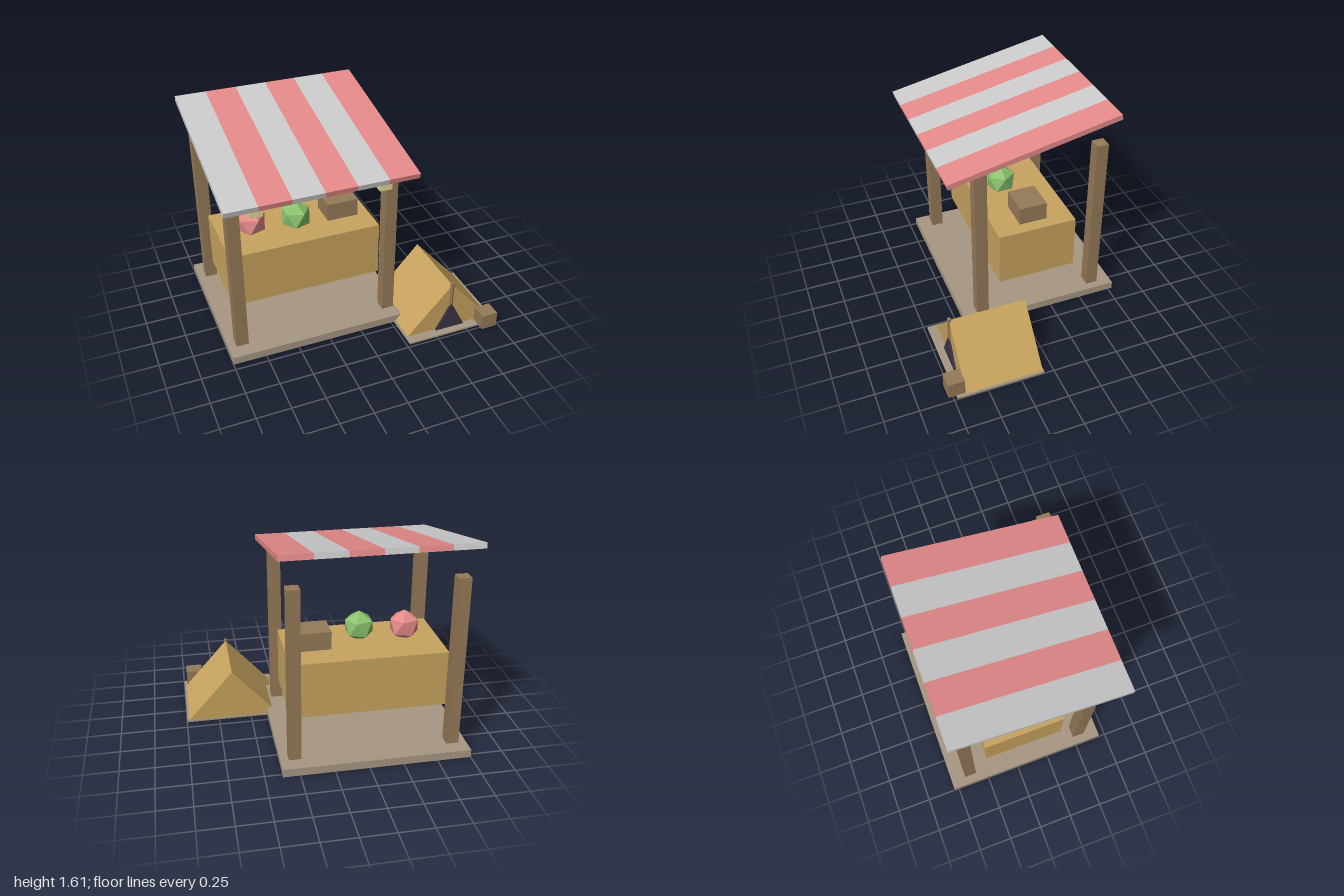
import * as THREE from 'three';

const material = (color) => new THREE.MeshStandardMaterial({ color, flatShading: true });
const grey = material(0xcccccc);
const red = material(0xe68a8a);
const green = material(0x8cc26e);
const wood = material(0x967a58);
const planks = material(0xa89884);
const canvas = material(0xc9a45f);
const dark = material(0x3a3344);
const glow = material(0xe6d69a);

function add(parent, name, geometry, mat, x, y, z) {
  const mesh = new THREE.Mesh(geometry, mat);
  mesh.name = name;
  mesh.position.set(x, y, z);
  parent.add(mesh);
  return mesh;
}

// Box standing on height y
function box(parent, name, mat, [w, h, d], [x, y, z]) {
  return add(parent, name, new THREE.BoxGeometry(w, h, d), mat, x, y + h / 2, z);
}

// Upright triangle extruded along z
function wedge(width, height, depth) {
  const shape = new THREE.Shape();
  shape.moveTo(-width / 2, 0);
  shape.lineTo(width / 2, 0);
  shape.lineTo(0, height);
  shape.closePath();
  return new THREE.ExtrudeGeometry(shape, { depth, bevelEnabled: false });
}

function createStall() {
  const stall = new THREE.Group();
  stall.name = 'stall';
  stall.position.set(-0.313, 0, -0.17);

  box(stall, 'platform', planks, [1.373, 0.061, 1.23], [0, 0, 0]);
  box(stall, 'counter', canvas, [1.165, 0.428, 0.612], [0, 0.278, 0]);

  // Corner posts and hanging lanterns
  for (const side of [-1, 1]) {
    for (const end of [-1, 1]) {
      box(stall, 'post', wood, [0.0915, 1.291, 0.0915], [side * 0.582, 0.061, end * 0.459]);
    }
    box(stall, 'lantern', glow, [0.0915, 0.112, 0.0915], [side * 0.46, 1.23, 0.615]);
  }

  // Sloping striped awning
  const awning = new THREE.Group();
  awning.name = 'awning';
  awning.position.set(0, 1.459, 0.076);
  awning.rotation.x = 0.209;
  stall.add(awning);
  const stripe = 1.373 / 6;
  for (let i = 0; i < 6; i++) {
    add(awning, 'awningStripe', new THREE.BoxGeometry(stripe, 0.04, 1.302),
      i % 2 ? red : grey, (i - 2.5) * stripe, 0, 0);
  }

  // Goods on the counter: faceted fruit with a corner pointing up, and a crate
  const fruit = new THREE.IcosahedronGeometry(0.12, 0);
  fruit.rotateZ(-0.5536);
  add(stall, 'redFruit', fruit, red, -0.337, 0.797, 0.032);
  add(stall, 'greenFruit', fruit, green, 0, 0.797, 0.075);
  box(stall, 'counterCrate', wood, [0.245, 0.14, 0.214], [0.366, 0.705, 0.001]);
  return stall;
}

function createTent() {
  const tent = new THREE.Group();
  tent.name = 'tent';
  tent.position.x = 0.636;

  box(tent, 'groundSheet', planks, [0.725, 0.014, 0.653], [0, 0, 0.399]);
  add(tent, 'tentBody', wedge(0.69, 0.386, 0.575), canvas, 0, 0.014, 0.08);
  add(tent, 'tentDoor', wedge(0.236, 0.222, 0.02), dark, 0, 0.014, 0.652);
  add(tent, 'tentPole', new THREE.CylinderGeometry(0.015, 0.015, 0.4, 6), wood, 0, 0.214, 0.655);
  box(tent, 'smallCrate', wood, [0.123, 0.122, 0.123], [0.276, 0.01, 0.722]);
  return tent;
}

export function createModel() {
  const model = new THREE.Group();
  model.name = 'marketStallAndTent';
  model.add(createStall(), createTent());
  return model;
}
